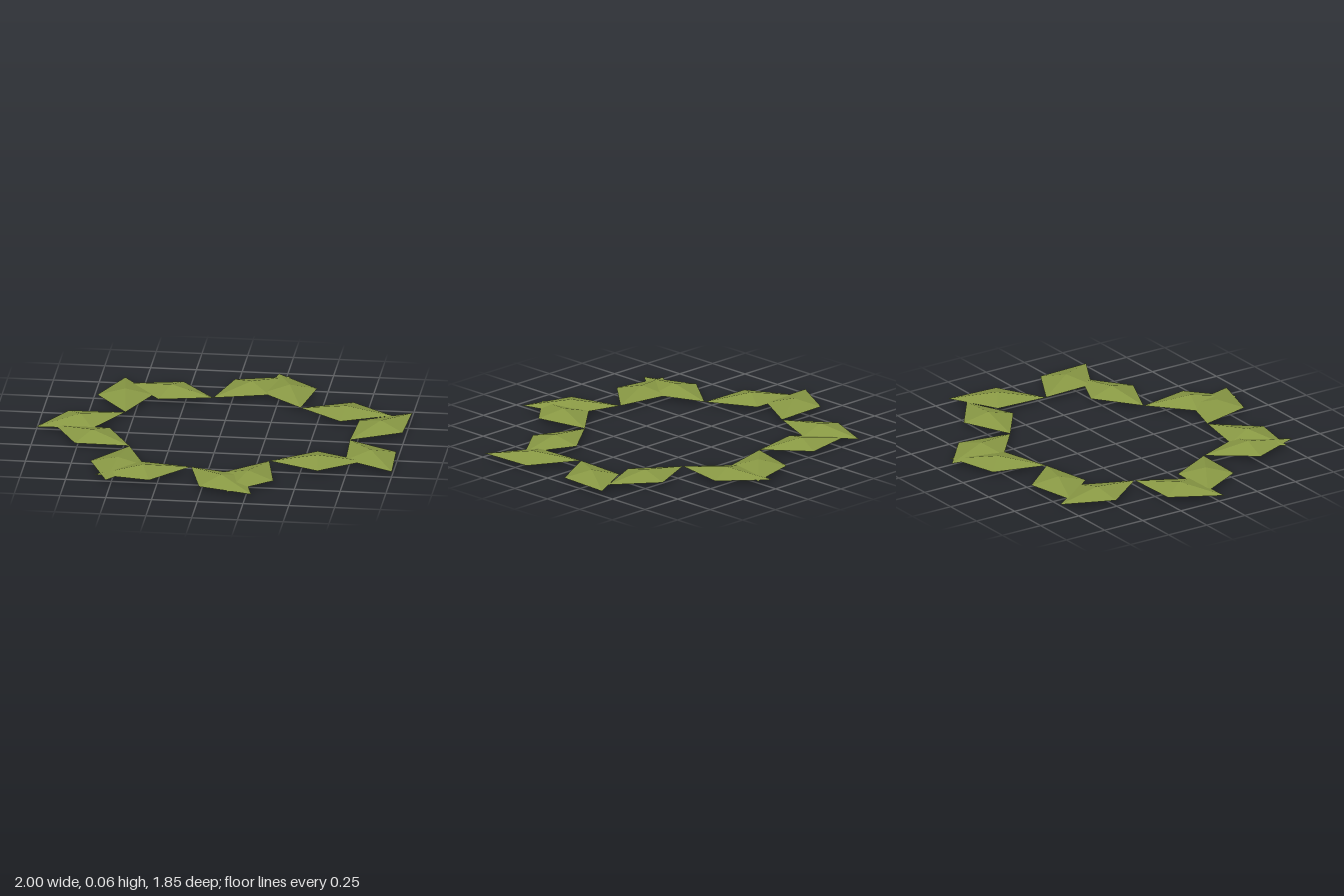
import * as THREE from 'three';

// Leaf pairs around the ring: [base x, base z, tip x, tip z]
const LEAVES = [
  [-0.10, -0.52, -0.58, -0.69], [-0.545, -0.245, -0.61, -0.775],
  [-0.545, -0.245, -1.0, 0.035], [-0.46, 0.265, -0.90, -0.005],
  [-0.46, 0.265, -0.525, 0.80], [-0.09, 0.54, -0.595, 0.72],
  [-0.09, 0.54, 0.285, 0.92], [0.32, 0.40, 0.15, 0.90],
  [0.32, 0.40, 0.84, 0.34], [0.715, 0.03, 1.0, 0.485],
  [0.715, 0.03, 1.0, -0.42], [0.39, -0.425, 0.90, -0.365],
  [0.39, -0.425, 0.21, -0.93], [-0.10, -0.52, 0.28, -0.895],
];
const RIM = 0.025, TOP = 0.061, HALF_WIDTH = 0.152;

// Flat diamond with a ridge apex above and a shallower one below
function leafGeometry(halfLength) {
  const g = new THREE.OctahedronGeometry(1, 0);
  const p = g.attributes.position;
  for (let i = 0; i < p.count; i++) {
    const y = p.getY(i);
    p.setXYZ(i, p.getX(i) * halfLength, y > 0 ? y * (TOP - RIM) : y * RIM, p.getZ(i) * HALF_WIDTH);
  }
  g.computeVertexNormals();
  return g;
}

export function createModel() {
  const wreath = new THREE.Group();
  wreath.name = 'leafWreath';
  const green = new THREE.MeshStandardMaterial({ color: 0x8a9a45 });
  green.name = 'leafGreen';
  green.flatShading = true;

  LEAVES.forEach(([bx, bz, tx, tz], i) => {
    const dx = tx - bx, dz = tz - bz;
    const leaf = new THREE.Mesh(leafGeometry(Math.hypot(dx, dz) / 2), green);
    leaf.name = `leaf${i + 1}`;
    leaf.position.set((bx + tx) / 2, RIM, (bz + tz) / 2);
    leaf.rotation.y = Math.atan2(-dz, dx);
    wreath.add(leaf);
  });
  return wreath;
}
